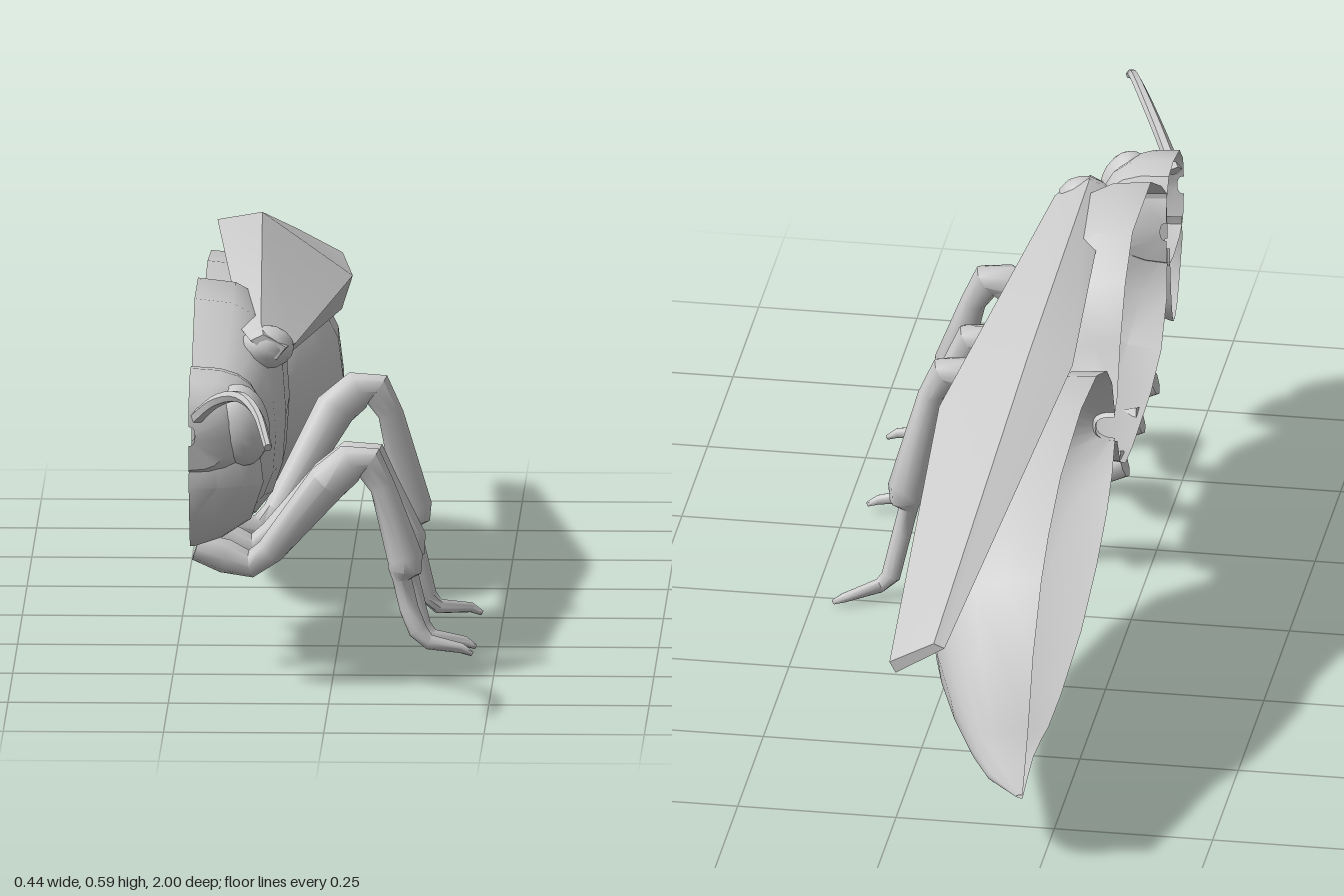
import * as THREE from 'three';
import { toCreasedNormals } from 'three/addons/utils/BufferGeometryUtils.js';

const CUT = -0.22; // the body is a half shell, open along this plane

// Skin a list of rings (arrays of Vector3); closed joins last point to first.
function loft(rings, closed, crease = 0.7) {
  const n = rings[0].length, pos = [], index = [];
  rings.forEach(r => r.forEach(p => pos.push(p.x, p.y, p.z)));
  for (let i = 0; i < rings.length - 1; i++) {
    for (let j = 0; j < (closed ? n : n - 1); j++) {
      const a = i * n + j, b = i * n + (j + 1) % n;
      index.push(a, b, a + n, b, b + n, a + n);
    }
  }
  const g = new THREE.BufferGeometry();
  g.setAttribute('position', new THREE.Float32BufferAttribute(pos, 3));
  g.setIndex(index);
  return toCreasedNormals(g, crease);
}

// Collapsed copy of a ring, used to close an end.
function collapse(ring) {
  const c = new THREE.Vector3();
  ring.forEach(p => c.addScaledVector(p, 1 / ring.length));
  return ring.map(() => c.clone());
}

// Half shell from rows of [z, top, bottom, halfWidth]; power < 1 squares the section.
function halfShell(rows, power = 0.85, steps = 10) {
  const rings = rows.map(([z, top, bottom, w]) =>
    Array.from({ length: steps + 1 }, (_, j) => {
      const a = Math.PI * j / steps, c = Math.cos(a);
      const s = Math.pow(Math.max(Math.sin(a), 0), power);
      const y = Math.sign(c) * Math.pow(Math.abs(c), power);
      return new THREE.Vector3(CUT + w * s, (top + bottom) / 2 + y * (top - bottom) / 2, z);
    }));
  return loft(rings, false);
}

// Tapered limb through rows of [x, y, z, radius].
function limb(rows, ref, sides = 8) {
  const pts = rows.map(r => new THREE.Vector3(r[0], r[1], r[2]));
  const rings = pts.map((p, i) => {
    const t = pts[Math.min(i + 1, pts.length - 1)].clone().sub(pts[Math.max(i - 1, 0)]).normalize();
    const a = ref.clone().addScaledVector(t, -ref.dot(t)).normalize();
    const b = t.clone().cross(a);
    return Array.from({ length: sides }, (_, j) => {
      const q = 2 * Math.PI * j / sides;
      return p.clone().addScaledVector(a, rows[i][3] * Math.cos(q)).addScaledVector(b, rows[i][3] * Math.sin(q));
    });
  });
  return loft([collapse(rings[0]), ...rings, collapse(rings[rings.length - 1])], true, 0.9);
}

export function createModel() {
  const group = new THREE.Group();
  const grey = new THREE.MeshStandardMaterial({ color: 0xcccccc, side: THREE.DoubleSide });
  grey.name = 'shell grey';
  const add = (name, geometry) => {
    const mesh = new THREE.Mesh(geometry, grey);
    mesh.name = name;
    group.add(mesh);
    return mesh;
  };

  // Body shells
  add('abdomen', halfShell([
    [0.03, 0.34, 0.30, 0.03], [-0.0, 0.41, 0.25, 0.10], [-0.05, 0.455, 0.21, 0.15],
    [-0.15, 0.495, 0.165, 0.19], [-0.3, 0.51, 0.125, 0.213], [-0.5, 0.49, 0.11, 0.207],
    [-0.62, 0.445, 0.113, 0.185], [-0.69, 0.40, 0.125, 0.165], [-0.77, 0.31, 0.133, 0.13],
    [-0.82, 0.205, 0.125, 0.09], [-0.85, 0.155, 0.118, 0.06], [-0.875, 0.118, 0.112, 0.01],
  ]));
  add('thorax', halfShell([
    [0.54, 0.40, 0.38, 0.005], [0.535, 0.48, 0.30, 0.10], [0.48, 0.52, 0.235, 0.13],
    [0.38, 0.575, 0.21, 0.143], [0.2, 0.575, 0.203, 0.143], [0.13, 0.52, 0.208, 0.135],
    [0.08, 0.44, 0.235, 0.105], [0.05, 0.36, 0.285, 0.05], [0.02, 0.34, 0.30, 0.03],
  ], 0.75));
  add('head', halfShell([
    [0.70, 0.43, 0.40, 0.01], [0.693, 0.465, 0.36, 0.06], [0.66, 0.495, 0.345, 0.095],
    [0.6, 0.505, 0.34, 0.112], [0.555, 0.50, 0.345, 0.108], [0.535, 0.47, 0.36, 0.08],
    [0.53, 0.43, 0.40, 0.01],
  ], 0.75));

  // Mouthparts: half cone hanging under the head, rows of [y, zFront, zBack, halfWidth]
  const mouth = [[0.37, 0.68, 0.565, 0.11], [0.33, 0.687, 0.568, 0.115],
    [0.27, 0.655, 0.58, 0.095], [0.24, 0.635, 0.59, 0.05], [0.225, 0.612, 0.604, 0.008]];
  add('mouthparts', loft(mouth.map(([y, f, b, w]) =>
    Array.from({ length: 9 }, (_, j) => {
      const a = Math.PI * j / 8;
      return new THREE.Vector3(CUT + w * Math.sin(a), y, (f + b) / 2 - Math.cos(a) * (f - b) / 2);
    }).reverse()), false));

  // Eye
  const eye = add('eye', new THREE.SphereGeometry(1, 16, 12));
  eye.scale.set(0.045, 0.065, 0.042);
  eye.position.set(-0.14, 0.425, 0.65);
  eye.rotation.z = 0.15;

  // Antenna
  const curve = new THREE.CatmullRomCurve3([
    [-0.208, 0.443, 0.69], [-0.175, 0.48, 0.745], [-0.135, 0.502, 0.83],
    [-0.105, 0.49, 0.92], [-0.087, 0.453, 0.997],
  ].map(p => new THREE.Vector3(...p)));
  add('antenna', limb(curve.getPoints(14).map((p, i) => [p.x, p.y, p.z, 0.011 - i * 0.0003]),
    new THREE.Vector3(1, 0, 0), 6));

  // Folded wing: four-cornered plate, inner edge, ridge, outer edge, underside
  const wing = [
    [0.47, [[-0.13, 0.525], [-0.11, 0.535], [-0.075, 0.515], [-0.09, 0.495]]],
    [0.43, [[-0.145, 0.535], [-0.115, 0.548], [-0.06, 0.515], [-0.085, 0.485]]],
    [-0.286, [[-0.204, 0.578], [-0.134, 0.59], [0.007, 0.49], [-0.01, 0.437]]],
    [-1, [[-0.117, 0.425], [-0.1, 0.432], [-0.03, 0.395], [-0.04, 0.377]]],
  ].map(([z, c]) => c.map(([x, y]) => new THREE.Vector3(x, y, z)));
  add('wing', loft([collapse(wing[0]), ...wing, collapse(wing[3])], true, 0.5));
  const root = add('wingRoot', new THREE.SphereGeometry(1, 12, 8));
  root.scale.set(0.042, 0.034, 0.035);
  root.position.set(-0.105, 0.51, 0.44);

  // Legs: knee height, foot height, then z of root, knee, ankle, foot and toe
  const legs = [
    ['frontLeg', 0.365, 0.042, 0.45, 0.48, 0.49, 0.498, 0.505],
    ['middleLeg', 0.342, 0.018, 0.31, 0.315, 0.32, 0.32, 0.315],
    ['rearLeg', 0.405, 0.01, 0.155, 0.065, 0.035, 0.015, -0.02],
  ];
  for (const [name, k, f, zr, zk, za, zf, zt] of legs) {
    const zm = (zr * 2 + zk) / 3;
    add(name, limb([
      [-0.215, 0.195, zr, 0.022], [-0.17, 0.18, zr, 0.027], [-0.13, 0.168, zr, 0.022],
      [-0.1, 0.19, zm, 0.022], [-0.01, k - 0.06, zk + 0.012, 0.032], [0.025, k - 0.032, zk, 0.031],
      [0.055, k - 0.03, zk, 0.027], [0.077, k - 0.07, zk, 0.02],
      [0.112, 0.185, za, 0.028], [0.111, 0.165, za, 0.026], [0.107, 0.152, za, 0.015],
      [0.118, 0.105, za, 0.015], [0.132, f + 0.03, zf, 0.015], [0.15, f + 0.012, zf, 0.012],
      [0.2, f + 0.004, zt, 0.008], [0.217, f - 0.005, zt, 0.004],
    ], new THREE.Vector3(0, 0, 1)));
  }
  return group;
}
